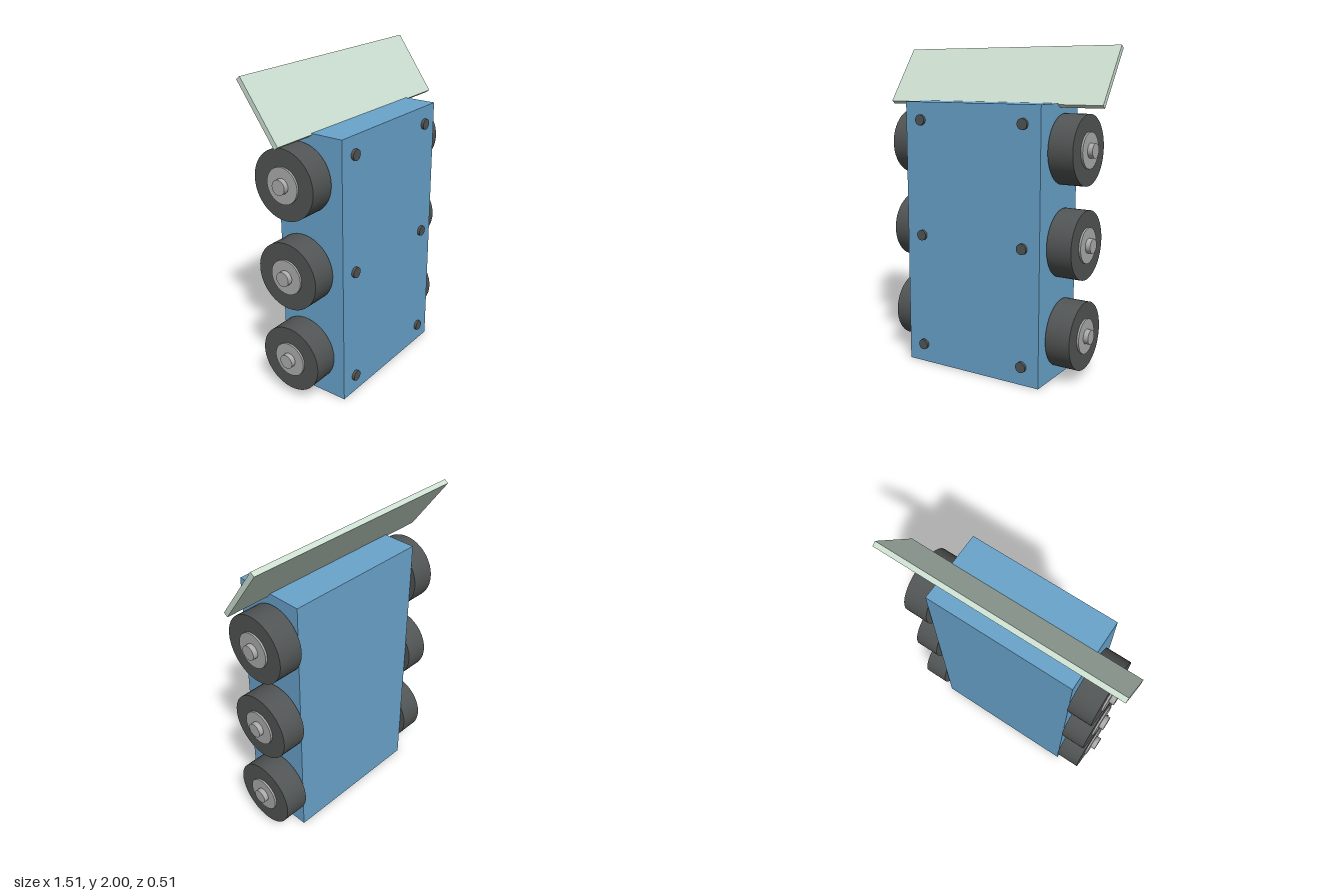
import * as THREE from 'three';

const material = (name, color) => {
  const m = new THREE.MeshStandardMaterial({ color });
  m.name = name;
  return m;
};

export function createModel() {
  const blue = material('bodyBlue', 0x69a4cc);
  const dark = material('rubberGrey', 0x525555);
  const metal = material('hubGrey', 0xacacac);
  const pale = material('panelGreen', 0xcde0d2);

  const model = new THREE.Group();
  model.name = 'sixWheeledChassis';

  const add = (parent, name, geometry, mat, x, y, z) => {
    const mesh = new THREE.Mesh(geometry, mat);
    mesh.name = name;
    mesh.position.set(x, y, z);
    parent.add(mesh);
    return mesh;
  };

  // Upright box body
  add(model, 'body', new THREE.BoxGeometry(0.95, 1.668, 0.456), blue, 0, 0.834, 0.008);

  // Panel leaning back from the top of the body
  const panel = add(model, 'panel', new THREE.BoxGeometry(1.51, 0.415, 0.031), pale, 0, 1.8215, -0.0985);
  panel.rotation.x = -0.618;

  // Cylinder lying along x between two positions
  const discX = (radius, x0, x1) =>
    new THREE.CylinderGeometry(radius, radius, x1 - x0, 48)
      .rotateZ(-Math.PI / 2)
      .translate((x0 + x1) / 2, 0, 0);
  const tyre = discX(0.21, 0.482, 0.639);
  const hub = discX(0.108, 0.47, 0.651);
  const axle = discX(0.045, 0.46, 0.682);

  // Stud lying along z
  const stud = new THREE.CylinderGeometry(0.033, 0.033, 0.03, 32).rotateX(Math.PI / 2);

  for (const side of [1, -1]) {
    const label = side > 0 ? 'left' : 'right';

    // Three wheels on each side
    for (const y of [0.277, 0.838, 1.4]) {
      const wheel = new THREE.Group();
      wheel.name = label + 'Wheel';
      wheel.position.set(0, y, -0.043);
      if (side < 0) wheel.rotation.y = Math.PI;
      add(wheel, 'tyre', tyre, dark, 0, 0, 0);
      add(wheel, 'hub', hub, metal, 0, 0, 0);
      add(wheel, 'axle', axle, metal, 0, 0, 0);
      model.add(wheel);
    }

    // Three studs on each side of the front face
    for (const y of [0.116, 0.837, 1.558]) {
      add(model, label + 'Stud', stud, dark, side * 0.361, y, 0.238);
    }
  }

  return model;
}
